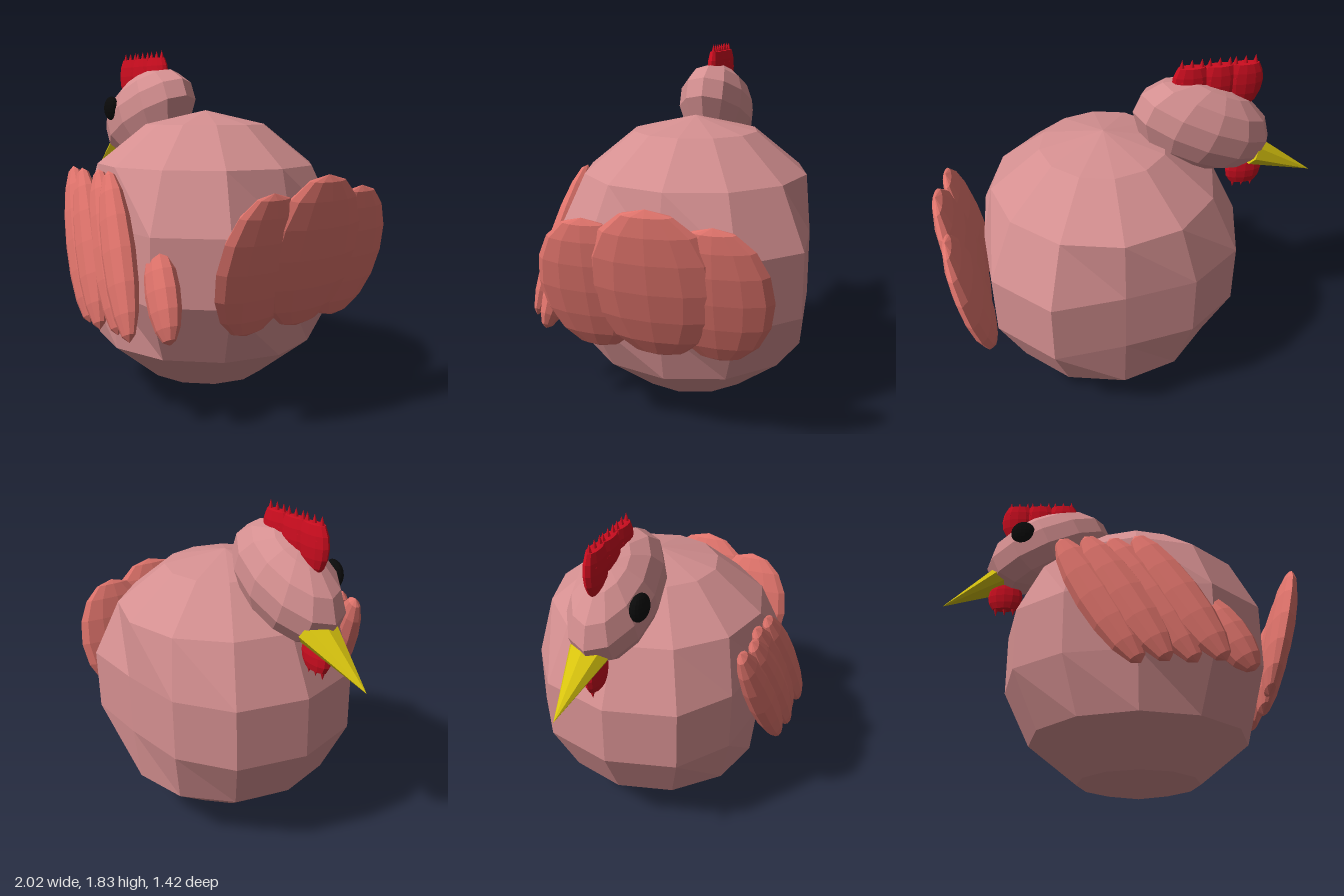
import * as THREE from 'three';

const paint = (color) => new THREE.MeshStandardMaterial({ color, flatShading: true });
const pink = paint(0xd48f90);
const coral = paint(0xdf736b);
const red = paint(0xcc0d1f);
const yellow = paint(0xd6c20e);
const black = paint(0x0a0a0a);

// Faceted ellipsoid with half sizes along its own axes
function ellipsoid(name, material, position, size, rotation = [0, 0, 0], segments = 12, rings = 7) {
  const mesh = new THREE.Mesh(new THREE.SphereGeometry(1, segments, rings).scale(...size), material);
  mesh.name = name;
  mesh.position.set(...position);
  mesh.rotation.set(...rotation);
  return mesh;
}

// Round body, its two widest rings pressed in at the sides and the tail
function makeBody() {
  const body = ellipsoid('body', pink, [0.13, 0.745, -0.09], [0.745, 0.745, 0.745]);
  const p = body.geometry.attributes.position;
  for (let i = 0; i < p.count; i++) {
    const x = p.getX(i), y = p.getY(i), z = p.getZ(i);
    if (Math.abs(y) > 0.2) continue;
    if (x > 0.7) p.setX(i, 0.65);
    else if (Math.abs(x) < 0.01) p.setZ(i, Math.sign(z) * 0.61);
    else if (x < -0.3 && x > -0.4) p.setZ(i, Math.sign(z) * 0.56);
  }
  return body;
}

// Flat-topped red lobe with three small points
function makeLobe(name, x, y, halfHeight) {
  const lobe = new THREE.Group();
  lobe.name = name;
  const base = ellipsoid('lobe', red, [0, 0, 0], [0.1, halfHeight, 0.04], [0, 0, 0], 12, 8);
  const p = base.geometry.attributes.position;
  const top = halfHeight * 0.72;
  for (let i = 0; i < p.count; i++) p.setY(i, Math.min(p.getY(i), top));
  lobe.add(base);
  for (const dx of [-0.05, 0, 0.05]) {
    const point = new THREE.Mesh(new THREE.ConeGeometry(0.034, 0.11, 6), red);
    point.name = 'point';
    point.position.set(dx, top - 0.015, 0);
    lobe.add(point);
  }
  lobe.position.set(x, y, -0.085);
  return lobe;
}

// Long feather whose axis follows the given direction
function makeFeather(x, y, z, halfLength, halfWidth) {
  const feather = ellipsoid('wingFeather', coral, [x, y, z], [halfWidth, halfLength, 0.07], [0, 0, 0], 10, 8);
  const down = new THREE.Vector3(0.46, -0.86, 0.17).normalize();
  feather.quaternion.setFromUnitVectors(new THREE.Vector3(0, 1, 0), down.negate());
  return feather;
}

export function createModel() {
  const model = new THREE.Group();
  model.name = 'hen';
  model.add(makeBody());

  // Head and eye
  model.add(ellipsoid('head', pink, [-0.385, 1.465, -0.08], [0.385, 0.23, 0.205], [0, 0, 0.42]));
  model.add(ellipsoid('eye', black, [-0.52, 1.5, 0.095], [0.07, 0.07, 0.038], [0, -0.15, 0], 16, 10));

  // Beak
  const tip = new THREE.Vector3(-1, 1.13, -0.11);
  const root = new THREE.Vector3(-0.65, 1.3, -0.1);
  const axis = tip.clone().sub(root);
  const beak = new THREE.Mesh(new THREE.ConeGeometry(1, axis.length(), 8).scale(0.075, 1, 0.11), yellow);
  beak.name = 'beak';
  beak.position.copy(root).lerp(tip, 0.5);
  beak.quaternion.setFromUnitVectors(new THREE.Vector3(0, 1, 0), axis.normalize());
  model.add(beak);

  // Comb on top, wattle below
  const comb = new THREE.Group();
  comb.name = 'comb';
  for (const x of [-0.58, -0.45, -0.31]) comb.add(makeLobe('combLobe', x, 1.69, 0.14));
  model.add(comb);
  const wattle = makeLobe('wattle', -0.63, 1.17, 0.11);
  wattle.rotation.z = Math.PI;
  model.add(wattle);

  // Wing on one side only
  const wing = new THREE.Group();
  wing.name = 'wing';
  for (let i = 0; i < 4; i++) wing.add(makeFeather(-0.06 + i * 0.127, 0.82, 0.58 + (i % 2) * 0.02, 0.43, 0.11));
  wing.add(makeFeather(0.55, 0.66, 0.51, 0.245, 0.105));
  model.add(wing);

  // Tail fan: one broad feather between two smaller ones
  const tail = new THREE.Group();
  tail.name = 'tail';
  tail.add(ellipsoid('tailFeather', coral, [0.9, 0.83, -0.105], [0.075, 0.385, 0.315], [0, 0, -0.24], 12, 8));
  for (const side of [-1, 1]) {
    tail.add(ellipsoid('sideTailFeather', coral, [0.87, 0.795, -0.093 + side * 0.295],
      [0.065, 0.35, 0.26], [0, 0, -0.24], 12, 8));
  }
  model.add(tail);
  return model;
}
